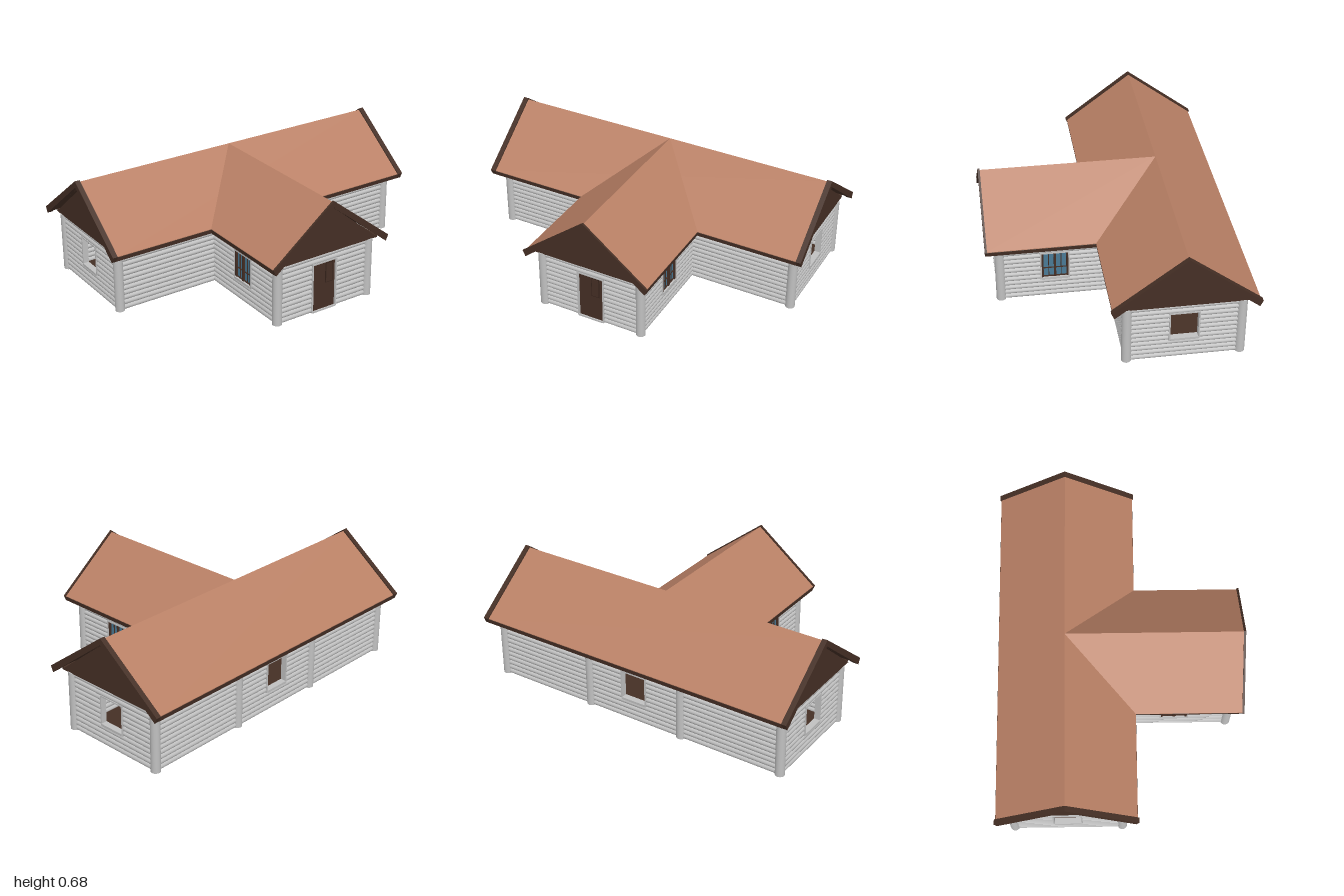
import * as THREE from 'three';

const mat = (name, color, side = THREE.FrontSide) => {
  const m = new THREE.MeshStandardMaterial({ color, side });
  m.name = name;
  return m;
};

export function createModel() {
  const model = new THREE.Group();
  model.name = 'logCabin';
  const logGrey = mat('logGrey', 0xc0c0c0);
  const tile = mat('terracotta', 0xb98065);
  const brown = mat('darkBrown', 0x452f25);
  const doorPanel = mat('doorPanelBrown', 0x35231b);
  const glass = mat('glassBlue', 0x4a7a96, THREE.DoubleSide);

  const add = (parent, name, geo, material, x = 0, y = 0, z = 0) => {
    const mesh = new THREE.Mesh(geo, material);
    mesh.name = name;
    mesh.position.set(x, y, z);
    parent.add(mesh);
    return mesh;
  };
  const box = (parent, name, material, x0, x1, y0, y1, z0, z1) =>
    add(parent, name, new THREE.BoxGeometry(x1 - x0, y1 - y0, z1 - z0), material,
      (x0 + x1) / 2, (y0 + y1) / 2, (z0 + z1) / 2);

  const R = 0.0145, LOGS = 12, HALF = 0.075, TOP = 0.29;

  // Two glazed casements with dark bars
  function glazing(wall) {
    box(wall, 'windowGlass', glass, -HALF, HALF, 0.13, TOP, -0.003, 0.003);
    for (const x of [-0.07, 0, 0.07]) box(wall, 'windowStile', brown, x - 0.006, x + 0.006, 0.13, TOP, -0.012, 0.014);
    for (const x of [-0.035, 0.035]) box(wall, 'windowBar', brown, x - 0.002, x + 0.002, 0.13, TOP, -0.007, 0.009);
    for (const y of [0.133, 0.19, 0.287]) {
      const h = y === 0.19 ? 0.002 : 0.003;
      box(wall, 'windowRail', brown, -HALF, HALF, y - h, y + h, -0.007, 0.009);
    }
  }

  // Door leaf with a small upper panel
  function door(wall) {
    box(wall, 'door', brown, -0.07, 0.07, 0.01, TOP, -0.01, 0.012);
    box(wall, 'doorPanelEdge', doorPanel, 0.006, 0.056, 0.163, 0.284, 0.011, 0.014);
    box(wall, 'doorPanel', brown, 0.011, 0.051, 0.168, 0.279, 0.012, 0.016);
  }

  // Wall of stacked logs, facing local +z, with an optional central opening
  function logWall(name, x, z, turn, length, opening) {
    const wall = new THREE.Group();
    wall.name = name;
    wall.position.set(x, 0, z);
    wall.rotation.y = turn;
    model.add(wall);
    const firstCut = opening === 'door' ? 0 : 4;
    for (let i = 0; i < LOGS; i++) {
      const cut = opening && i >= firstCut && i < 10;
      const spans = cut ? [[-length / 2, -HALF], [HALF, length / 2]] : [[-length / 2, length / 2]];
      for (const [a, b] of spans) {
        const geo = new THREE.CylinderGeometry(R, R, b - a, 12).rotateZ(Math.PI / 2);
        add(wall, 'log', geo, logGrey, (a + b) / 2, R * (2 * i + 1), 0);
      }
    }
    if (opening) {
      const y0 = firstCut * 2 * R, sill = opening === 'door' ? 0.01 : 0.13;
      for (const s of [-1, 1]) {
        const x1 = s * HALF, x2 = s * (HALF + 0.008);
        box(wall, 'openingJamb', logGrey, Math.min(x1, x2), Math.max(x1, x2), y0, TOP + 0.008, -0.017, 0.017);
      }
      box(wall, 'openingHead', logGrey, -HALF, HALF, TOP, TOP + 0.008, -0.017, 0.017);
      box(wall, 'openingSill', logGrey, -HALF, HALF, y0, sill, -0.017, 0.02);
    }
    if (opening === 'door') door(wall);
    if (opening === 'glazed') glazing(wall);
  }

  const BX = 0.925, WX = 0.305, BACK = -0.61, MID = 0.005, FRONT = 0.62;
  const Q = Math.PI / 2;
  logWall('backWall', 0, BACK, Math.PI, 2 * BX, 'open');
  logWall('wingFrontWall', 0, FRONT, 0, 2 * WX, 'door');
  for (const s of [-1, 1]) {
    logWall('endWall', s * BX, (BACK + MID) / 2, s * Q, MID - BACK, 'open');
    logWall('mainFrontWall', s * (BX + WX) / 2, MID, 0, BX - WX);
    logWall('wingSideWall', s * WX, (MID + FRONT) / 2, s * Q, FRONT - MID, 'glazed');
    // Upright round posts
    for (const [x, z] of [[BX, BACK], [BX, MID], [WX, BACK], [WX, FRONT]]) {
      add(model, 'cornerPost', new THREE.CylinderGeometry(0.027, 0.027, 0.348, 20), logGrey, s * x, 0.174, z);
    }
  }

  // Floor and flat soffits
  box(model, 'mainFloor', brown, -BX, BX, 0, 0.01, BACK, MID);
  box(model, 'wingFloor', brown, -WX, WX, 0, 0.01, MID, FRONT);
  box(model, 'mainSoffit', brown, -0.94, 0.94, 0.346, 0.356, -0.68, 0.075);
  box(model, 'wingSoffit', brown, -0.36, 0.36, 0.346, 0.356, 0.075, 0.635);

  // Roof cross-sections, extruded along local z
  const shapeOf = (pts) => new THREE.Shape(pts.map(([x, y]) => new THREE.Vector2(x, y)));
  const chevron = (w, top, eave, inset, t) => shapeOf([
    [0, top], [-w, eave], [-w + inset, eave - t], [0, top - t * 1.1], [w - inset, eave - t], [w, eave]]);
  function prism(parent, name, shape, z0, z1, material) {
    const geo = new THREE.ExtrudeGeometry(shape, { depth: z1 - z0, bevelEnabled: false });
    return add(parent, name, geo, material, 0, 0, z0);
  }

  // One gabled roof end: recessed triangle and barge boards
  function gable(parent, w, wallZ, z0, z1) {
    prism(parent, 'gableTriangle', shapeOf([[-w + 0.02, 0.346], [w - 0.02, 0.346], [0, 0.645]]), wallZ - 0.01, wallZ, brown);
    prism(parent, 'bargeBoard', chevron(w + 0.008, 0.68, 0.378, 0.016, 0.034), z0, z1, brown);
  }
  function roof(name, w, z0, z1) {
    const g = new THREE.Group();
    g.name = name;
    model.add(g);
    prism(g, 'roofCovering', chevron(w, 0.671, 0.376, 0, 0.005), z0, z1, tile);
    prism(g, 'roofBoards', chevron(w + 0.001, 0.667, 0.372, 0.004, 0.025), z0, z1, brown);
    return g;
  }

  // Main roof runs along x, wing roof meets it at the valleys
  const mainRoof = roof('mainRoof', 0.39, -0.975, 0.975);
  mainRoof.rotation.y = Q;
  mainRoof.position.z = -0.302;
  for (const turn of [0, Math.PI]) {
    const end = new THREE.Group();
    end.name = 'mainGable';
    end.rotation.y = turn;
    mainRoof.add(end);
    gable(end, 0.39, 0.945, 0.97, 1);
  }
  const wingRoof = roof('wingRoof', 0.377, -0.3, 0.692);
  gable(wingRoof, 0.377, 0.64, 0.688, 0.7);

  return model;
}
